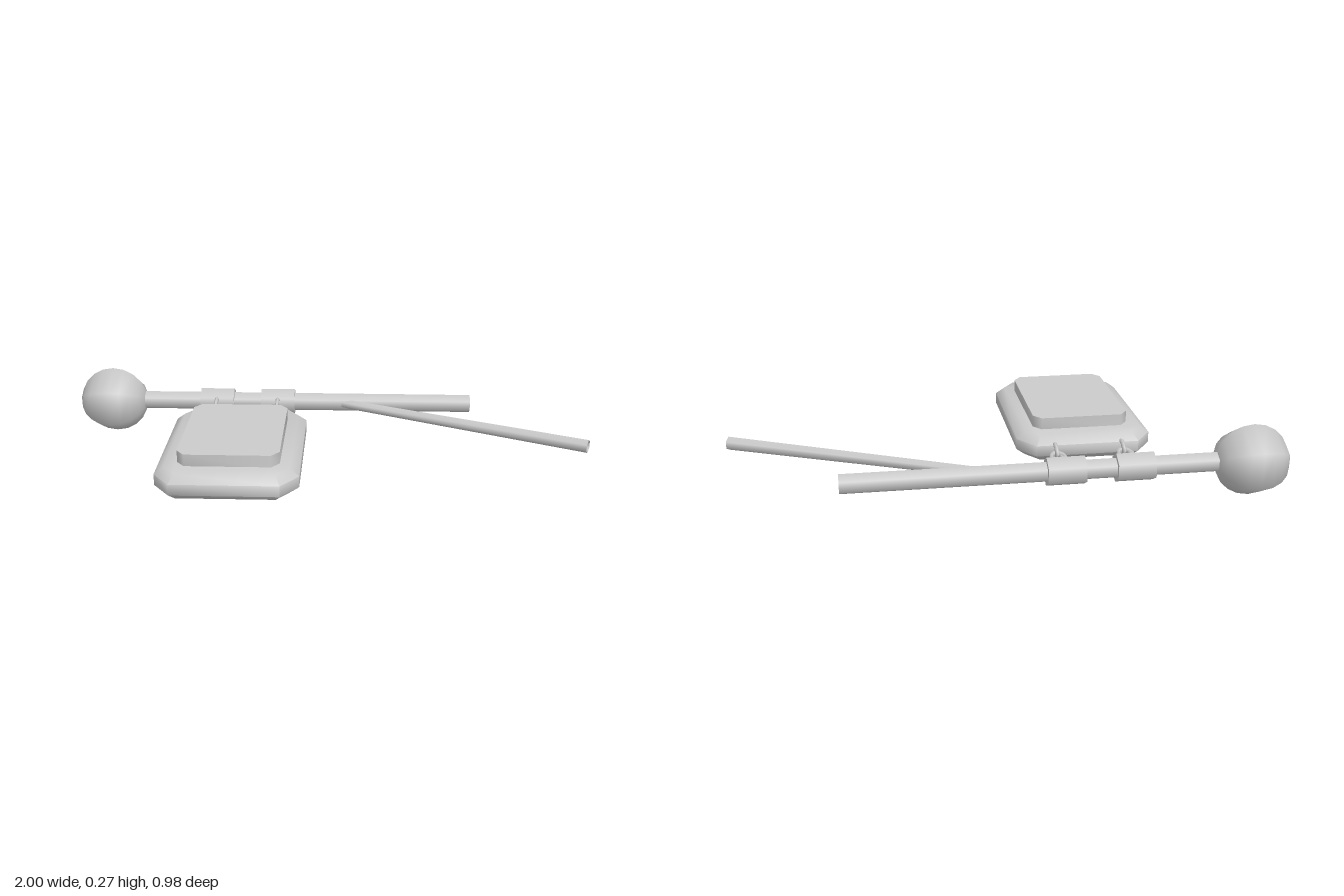
import * as THREE from 'three';
import { toCreasedNormals } from 'three/addons/utils/BufferGeometryUtils.js';

const MID_Y = 0.137;
const ROD_Z = -0.375;

export function createModel() {
  const model = new THREE.Group();
  model.name = 'hangingSign';
  const grey = new THREE.MeshStandardMaterial({ color: 0xcccccc });
  const greyOpen = new THREE.MeshStandardMaterial({ color: 0xcccccc, side: THREE.DoubleSide });

  function add(name, geometry, x, y, z, material = grey) {
    const mesh = new THREE.Mesh(geometry, material);
    mesh.name = name;
    mesh.position.set(x, y, z);
    model.add(mesh);
    return mesh;
  }

  // Six-sided bar along x with an edge at its top
  function hexBar(rLeft, rRight, length, open) {
    return new THREE.CylinderGeometry(rRight, rLeft, length, 6, 1, open)
      .rotateY(Math.PI / 6).rotateZ(-Math.PI / 2);
  }

  // Slab with cut corners and bevelled rims, resting on y = 0
  function cutSlab(width, length, height, cutX, cutZ, bevelSize, bevelHeight) {
    const w = width / 2 - bevelSize, l = length / 2 - bevelSize;
    const shape = new THREE.Shape([
      [w, -l + cutZ], [w, l - cutZ], [w - cutX, l], [-w + cutX, l],
      [-w, l - cutZ], [-w, -l + cutZ], [-w + cutX, -l], [w - cutX, -l],
    ].map(([x, y]) => new THREE.Vector2(x, y)));
    const geometry = new THREE.ExtrudeGeometry(shape, {
      depth: height - 2 * bevelHeight, bevelEnabled: bevelSize > 0,
      bevelSize, bevelThickness: bevelHeight, bevelSegments: 1,
    });
    geometry.translate(0, 0, bevelHeight).rotateX(-Math.PI / 2);
    return toCreasedNormals(geometry, Math.PI / 3.2);
  }

  // Pole with ball finial
  add('pole', hexBar(0.037, 0.037, 1.36, true), -0.09, MID_Y, ROD_Z, greyOpen);
  add('ballFinial', new THREE.SphereGeometry(0.135, 6, 10).rotateZ(-Math.PI / 2), -0.865, MID_Y, ROD_Z);

  // Slanted brace, slightly thicker at its free end
  const start = new THREE.Vector3(0.04, MID_Y, ROD_Z);
  const end = new THREE.Vector3(0.987, MID_Y, 0.057);
  const centre = start.clone().add(end).multiplyScalar(0.5);
  const brace = add('brace', hexBar(0.019, 0.026, start.distanceTo(end), true),
    centre.x, centre.y, centre.z, greyOpen);
  brace.rotation.y = -Math.atan2(end.z - start.z, end.x - start.x);

  // Collars, each with a chain of three links
  for (const x of [-0.437, -0.19]) {
    add('collar', hexBar(0.053, 0.053, 0.136, false), x, MID_Y, ROD_Z);
    for (const [z, flat] of [[-0.322, false], [-0.258, true], [-0.194, false]]) {
      const link = new THREE.TorusGeometry(0.025, 0.008, 6, 12).scale(1, 1.75, 1).rotateX(Math.PI / 2);
      if (!flat) link.rotateZ(Math.PI / 2);
      add('chainLink', link, x, MID_Y, z);
    }
  }

  // Sign board and raised panel
  add('signBoard', cutSlab(0.5, 0.682, 0.092, 0.045, 0.06, 0.033, 0.026), -0.312, 0.093, 0.146);
  add('raisedPanel', cutSlab(0.356, 0.486, 0.053, 0.028, 0.035, 0, 0), -0.309, 0.175, 0.148);

  return model;
}
